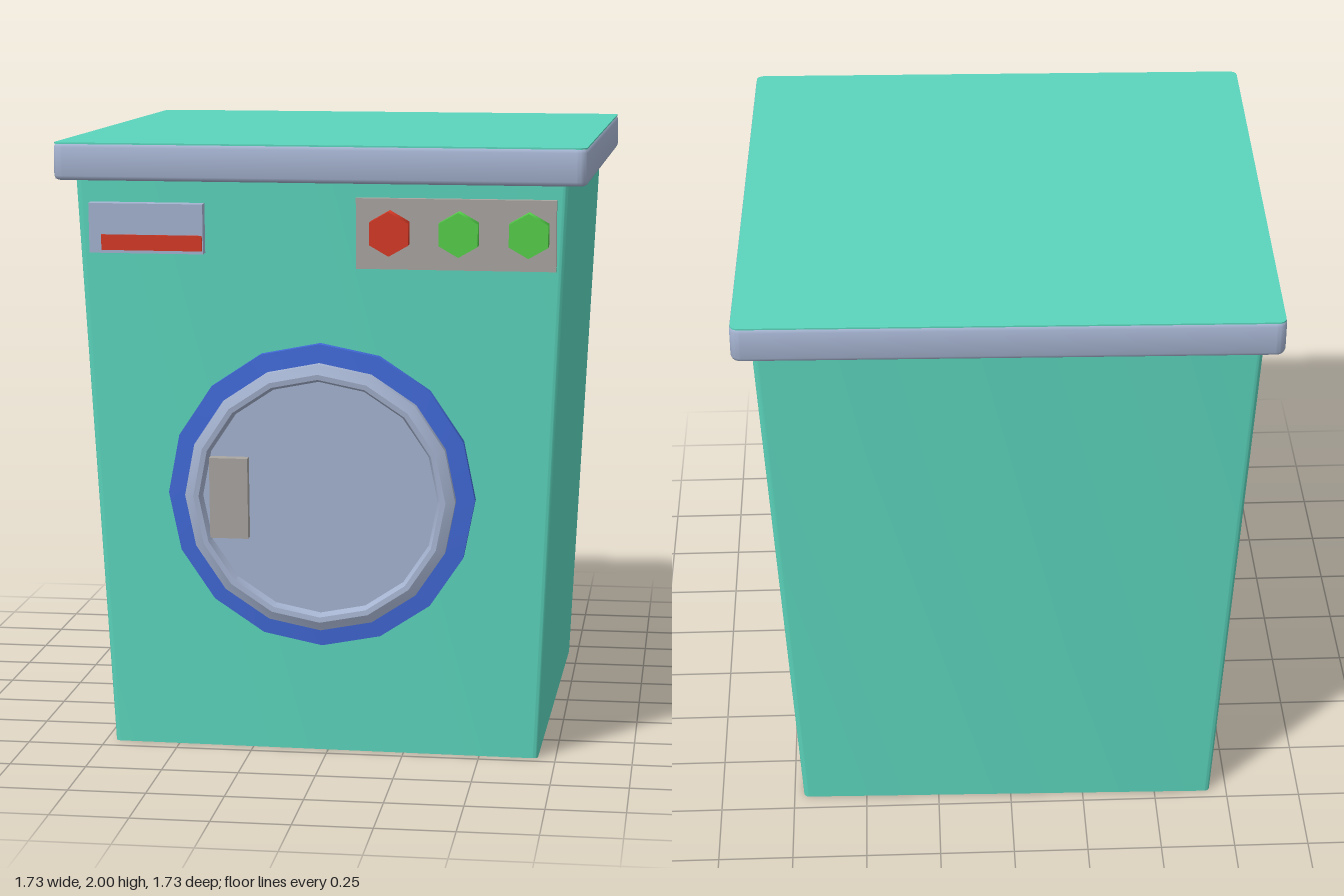
import * as THREE from 'three';
import { toCreasedNormals } from 'three/addons/utils/BufferGeometryUtils.js';

const mat = (name, color) => {
  const m = new THREE.MeshStandardMaterial({ color });
  m.name = name;
  return m;
};

// Square outline with rounded corners, half width h and corner radius r
function roundedSquare(h, r) {
  const s = new THREE.Shape();
  const c = h - r;
  s.absarc(c, c, r, 0, Math.PI / 2);
  s.absarc(-c, c, r, Math.PI / 2, Math.PI);
  s.absarc(-c, -c, r, Math.PI, Math.PI * 1.5);
  s.absarc(c, -c, r, Math.PI * 1.5, Math.PI * 2);
  return s;
}

// Upright slab with a rounded square plan and optional bevelled edges
function slab(half, radius, height, bevel = 0) {
  const g = new THREE.ExtrudeGeometry(roundedSquare(half - bevel, radius), {
    depth: height - 2 * bevel, curveSegments: 4,
    bevelEnabled: bevel > 0, bevelSize: bevel, bevelThickness: bevel, bevelSegments: 2,
  });
  return g.translate(0, 0, bevel).rotateX(-Math.PI / 2);
}

export function createModel() {
  const teal = mat('teal enamel', 0x5bd5bc);
  const steel = mat('blue grey', 0xa5b3d0);
  const blue = mat('seal blue', 0x4169d6);
  const grey = mat('warm grey', 0xa9a5a1);
  const red = mat('red', 0xd63a26);
  const green = mat('green', 0x55cf4a);

  const model = new THREE.Group();
  model.name = 'washingMachine';
  const machine = new THREE.Group();
  machine.name = 'machine';
  machine.rotation.y = -0.018; // stands slightly askew
  model.add(machine);

  const add = (parent, name, geometry, material, x = 0, y = 0, z = 0) => {
    const mesh = new THREE.Mesh(geometry, material);
    mesh.name = name;
    mesh.position.set(x, y, z);
    parent.add(mesh);
    return mesh;
  };

  // Cabinet, narrowing towards the floor
  const bottom = 0.705, top = 0.79, height = 1.89;
  const cabinet = slab(top, 0.02, height);
  const p = cabinet.attributes.position;
  for (let i = 0; i < p.count; i++) {
    const k = THREE.MathUtils.lerp(bottom, top, p.getY(i) / height) / top;
    p.setXYZ(i, p.getX(i) * k, p.getY(i), p.getZ(i) * k);
  }
  cabinet.computeVertexNormals();
  add(machine, 'cabinet', toCreasedNormals(cabinet, 0.6), teal);

  // Lid rim and its coloured top
  add(machine, 'lidRim', toCreasedNormals(slab(0.85, 0.02, 0.118, 0.014), 0.9), steel, 0, 1.88, 0);
  add(machine, 'lidTop', slab(0.847, 0.025, 0.005), teal, 0, 1.995, 0);

  // Everything on the front follows its slope
  const front = new THREE.Group();
  front.name = 'frontPanel';
  front.position.z = bottom;
  front.rotation.x = Math.atan((top - bottom) / height);
  machine.add(front);

  // Plate standing on the front face, given by its edges
  const plate = (name, x0, x1, y0, y1, z0, z1, material) =>
    add(front, name, new THREE.BoxGeometry(x1 - x0, y1 - y0, z1 - z0), material,
      (x0 + x1) / 2, (y0 + y1) / 2, (z0 + z1) / 2);

  // Round door: seal, raised ring, recessed disc and handle
  const ring = (profile) => toCreasedNormals(
    new THREE.LatheGeometry(profile.map(([r, z]) => new THREE.Vector2(r, z)), 16)
      .rotateX(Math.PI / 2), 0.45);
  const doorY = 0.865;
  add(front, 'doorSeal', ring([[0.5, -0.005], [0.5, 0.024], [0.42, 0.03]]), blue, 0, doorY);
  add(front, 'doorRing',
    ring([[0.44, 0], [0.44, 0.055], [0.41, 0.07], [0.393, 0.068], [0.38, 0.04], [0.38, 0]]),
    steel, 0, doorY);
  add(front, 'doorDisc', new THREE.CylinderGeometry(0.385, 0.385, 0.045, 16).rotateX(Math.PI / 2),
    steel, 0, doorY, 0.0225);
  plate('doorHandle', -0.355, -0.23, 0.73, 0.995, 0.03, 0.076, grey);

  // Detergent drawer with red strip
  plate('drawer', -0.74, -0.37, 1.65, 1.81, -0.01, 0.036, steel);
  plate('drawerStrip', -0.7, -0.373, 1.66, 1.71, 0.035, 0.04, red);

  // Control plate with three hexagonal knobs
  plate('controlPlate', 0.12, 0.753, 1.61, 1.835, -0.01, 0.02, grey);
  [red, green, green].forEach((m, i) => {
    add(front, 'knob' + (i + 1), new THREE.CylinderGeometry(0.071, 0.071, 0.045, 6)
      .rotateX(Math.PI / 2), m, 0.229 + i * 0.22, 1.728, 0.04);
  });

  return model;
}
